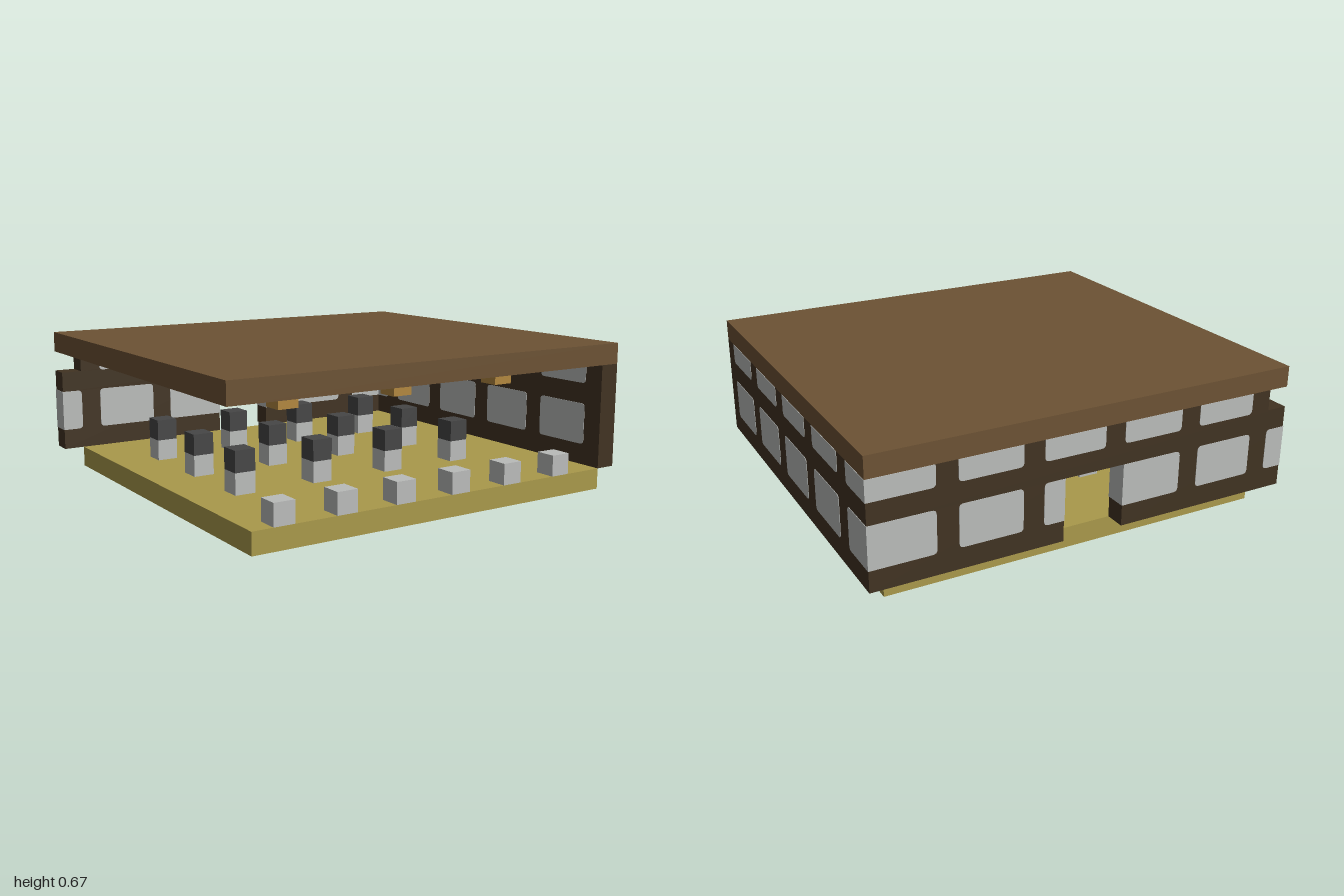
import * as THREE from 'three';

const U = 2 / 21;            // block size
const E = 0.002;             // how far panels stand proud of the timber
const X0 = -1, Z0 = 9.5 * U; // left end and front edge of the block grid

const mat = (name, color) => Object.assign(new THREE.MeshStandardMaterial({ color }), { name });

export function createModel() {
  const roofBrown = mat('roof brown', 0x6c5234);
  const timber = mat('dark timber', 0x413322);
  const panelGrey = mat('light grey', 0xbabcba);
  const straw = mat('straw floor', 0xa9994b);
  const charcoal = mat('charcoal', 0x464646);
  const amber = mat('amber', 0xb2873f);

  const model = new THREE.Group();
  model.name = 'pavilion';

  // Box spanning grid cells: i along +x, j up, k from the front backwards
  function block(name, material, i0, i1, j0, j1, k0, k1) {
    const mesh = new THREE.Mesh(
      new THREE.BoxGeometry((i1 - i0) * U, (j1 - j0) * U, (k1 - k0) * U), material);
    mesh.position.set(X0 + (i0 + i1) / 2 * U, (j0 + j1) / 2 * U, Z0 - (k0 + k1) / 2 * U);
    mesh.name = name;
    model.add(mesh);
  }

  // Panel through the wall thickness; open ends are square and wrap the wall edge
  function panel(wall, a0, a1, j0, j1, openStart, openEnd, openTop) {
    const l = a0 * U - (openStart ? E : 0), r = a1 * U + (openEnd ? E : 0);
    const b = j0 * U, t = j1 * U, c = 0.02;
    const s = new THREE.Shape();
    const corner = (x, y, dx, dy, square, vertical) => {
      // vertical: arriving along a vertical edge
      if (square) { s.lineTo(x, y); return; }
      if (vertical) { s.lineTo(x, y + dy * c); s.quadraticCurveTo(x, y, x + dx * c, y); }
      else { s.lineTo(x + dx * c, y); s.quadraticCurveTo(x, y, x, y + dy * c); }
    };
    s.moveTo((l + r) / 2, b);
    corner(r, b, -1, 1, openEnd, false);
    corner(r, t, -1, -1, openEnd || openTop, true);
    corner(l, t, 1, -1, openStart || openTop, false);
    corner(l, b, 1, 1, openStart, true);
    s.closePath();
    const geo = new THREE.ExtrudeGeometry(s, { depth: U + 2 * E, bevelEnabled: false, curveSegments: 4 });
    const mesh = new THREE.Mesh(geo.translate(0, 0, -E), panelGrey);
    mesh.name = 'wallPanel';
    wall.add(mesh);
  }

  block('floor', straw, 1, 20, 0, 1, 0, 18);
  block('roof', roofBrown, 0, 21, 6, 7, 0, 19);

  // Timber walls, with a doorway at the back and a notch at its far end
  block('backWallLower', timber, 0, 9, 1, 4, 18, 19);
  block('backWallLower', timber, 12, 21, 1, 4, 18, 19);
  block('backWallBeam', timber, 0, 21, 4, 5, 18, 19);
  block('backWallUpper', timber, 1, 21, 5, 6, 18, 19);
  block('sideWall', timber, 20, 21, 1, 6, 0, 18);

  // Back wall panels
  const back = new THREE.Group();
  back.name = 'backPanels';
  back.position.set(X0, 0, -Z0);
  model.add(back);
  for (const [a0, a1, start, end] of [
    [0, 1, true, false], [2, 5, false, false], [6, 9, false, true],
    [12, 13, true, false], [14, 17, false, false], [18, 21, false, true],
  ]) panel(back, a0, a1, 2, 4, start, end, false);
  for (let a = 2; a <= 18; a += 4) panel(back, a, a + 3, 5, 6, false, a === 18, true);

  // Side wall panels
  const side = new THREE.Group();
  side.name = 'sidePanels';
  side.position.set(1 - U, 0, Z0);
  side.rotation.y = Math.PI / 2;
  model.add(side);
  for (let a = 1; a <= 17; a += 4) {
    const end = Math.min(a + 3, 19), open = a === 17;
    panel(side, a, end, 2, 4, false, open, false);
    panel(side, a, end, 5, 6, false, open, true);
  }

  // Low posts along the front edge
  for (let i = 2; i <= 17; i += 3) block('frontPost', panelGrey, i, i + 1, 1, 2, 0, 1);

  // Capped pedestals in rows across the floor
  for (const k of [5, 9, 13]) {
    for (const i of [3, 7, 11, 15]) {
      block('pedestal', panelGrey, i, i + 1, 1, 2, k, k + 1);
      block('pedestalCap', charcoal, i, i + 1, 2, 3, k, k + 1);
    }
  }

  // Lamps under the roof
  for (const k of [3, 9, 15]) {
    for (const i of [4, 10, 16]) block('ceilingLamp', amber, i, i + 1, 5, 6, k, k + 1);
  }

  return model;
}
